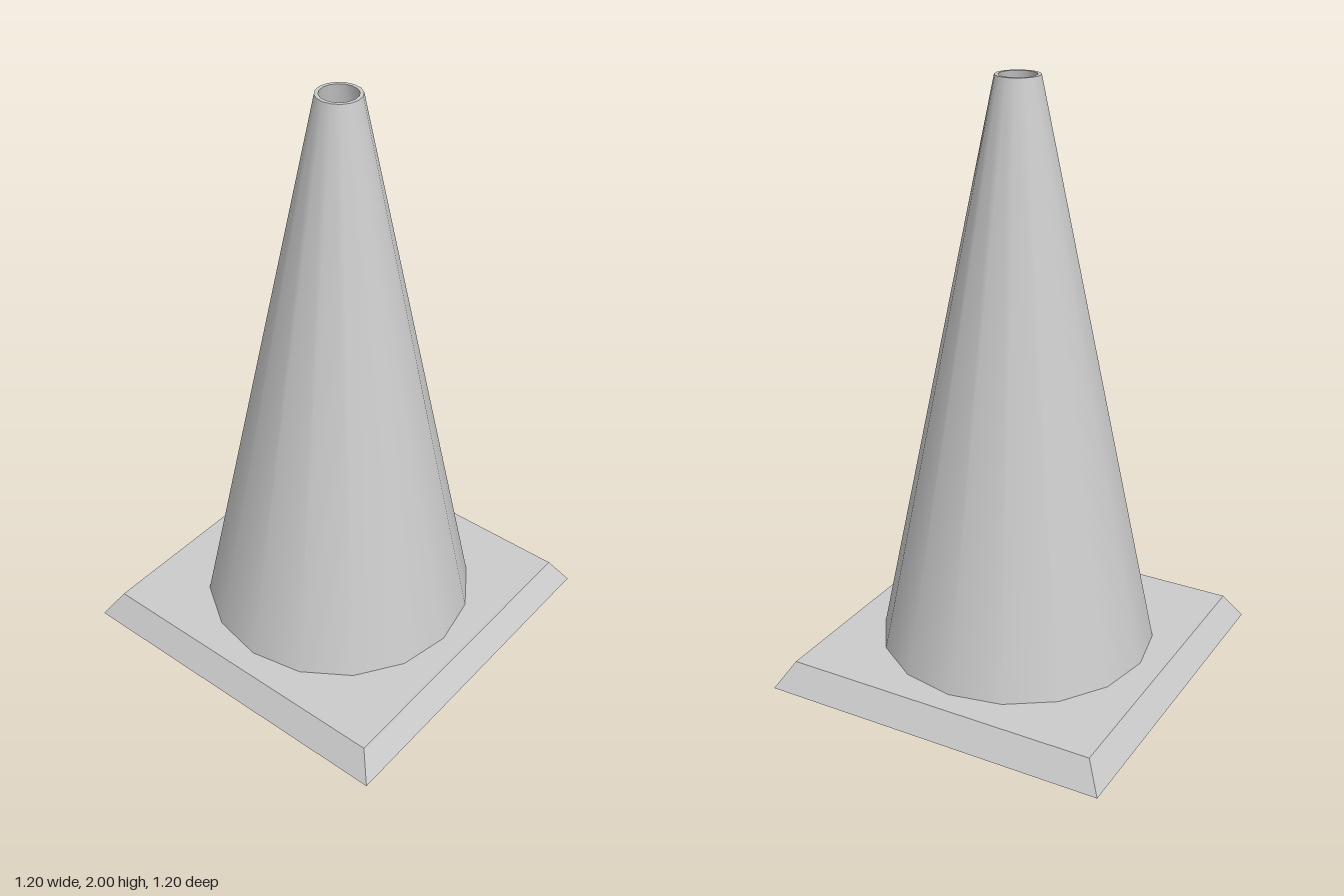
import * as THREE from 'three';
import { mergeGeometries } from 'three/addons/utils/BufferGeometryUtils.js';

const SIDES = 16;
const BASE_HEIGHT = 0.09, BASE_BOTTOM = 0.6, BASE_TOP = 0.545; // half widths
const OUTER_BOTTOM = 0.465, OUTER_TOP = 0.072;
const INNER_BOTTOM = 0.46, INNER_TOP = 0.06;

// Square plate with a polygonal hole, lying flat and facing up or down
function plate(half, holeRadius, y, facingUp) {
  const shape = new THREE.Shape([[-1, -1], [1, -1], [1, 1], [-1, 1]]
    .map(([x, z]) => new THREE.Vector2(x * half, z * half)));
  const rim = [];
  for (let i = 0; i < SIDES; i++) {
    const a = (i / SIDES) * Math.PI * 2;
    rim.push(new THREE.Vector2(Math.cos(a) * holeRadius, Math.sin(a) * holeRadius));
  }
  shape.holes.push(new THREE.Path(rim));
  return new THREE.ShapeGeometry(shape)
    .rotateX(facingUp ? -Math.PI / 2 : Math.PI / 2)
    .translate(0, y, 0);
}

// One smooth band of revolution between two [radius, height] points
function band(from, to) {
  return new THREE.LatheGeometry([from, to].map(([r, y]) => new THREE.Vector2(r, y)), SIDES);
}

export function createModel() {
  const group = new THREE.Group();
  group.name = 'trafficCone';

  // Square foot with sloping edges, open through the middle
  const slopes = new THREE.CylinderGeometry(
    BASE_TOP * Math.SQRT2, BASE_BOTTOM * Math.SQRT2, BASE_HEIGHT, 4, 1, true)
    .rotateY(Math.PI / 4).translate(0, BASE_HEIGHT / 2, 0);
  const base = new THREE.Mesh(
    mergeGeometries([
      slopes,
      plate(BASE_TOP, OUTER_BOTTOM, BASE_HEIGHT, true),
      plate(BASE_BOTTOM, INNER_BOTTOM, 0, false),
    ]),
    new THREE.MeshStandardMaterial({ color: 0xcccccc, flatShading: true }));
  base.name = 'base';
  group.add(base);

  // Hollow cone: outer wall, top rim and inner wall, with sharp edges between
  const cone = new THREE.Mesh(
    mergeGeometries([
      band([OUTER_BOTTOM, BASE_HEIGHT], [OUTER_TOP, 2]),
      band([OUTER_TOP, 2], [INNER_TOP, 2]),
      band([INNER_TOP, 2], [INNER_BOTTOM, 0]),
    ]),
    new THREE.MeshStandardMaterial({ color: 0xcccccc }));
  cone.name = 'cone';
  group.add(cone);

  return group;
}
